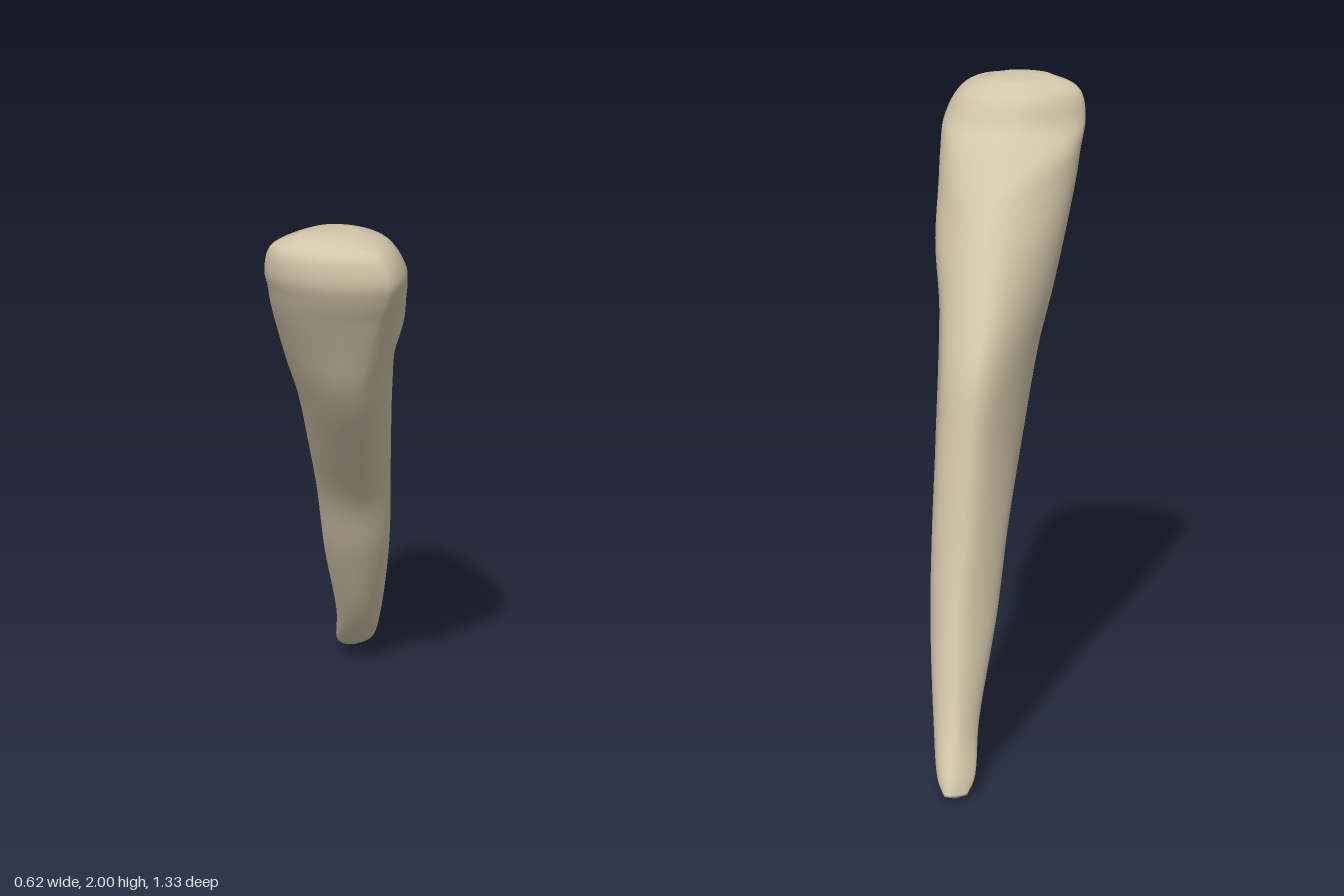
import * as THREE from 'three';

// Horizontal sections: height, then x, z of the back, left, front and right-hand extremes
const SECTIONS = [
  [0.01, .275, -.665, .295, -.65, .25, -.625, .22, -.64],
  [0.05, .27, -.65, .308, -.6, .25, -.555, .19, -.595],
  [0.2, .245, -.565, .305, -.49, .23, -.41, .16, -.48],
  [0.5, .22, -.45, .295, -.35, .18, -.225, .08, -.32],
  [0.75, .185, -.385, .28, -.28, .125, -.1, .03, -.21],
  [1.0, .16, -.335, .26, -.23, .09, .115, -.04, -.04],
  [1.25, .13, -.29, .237, -.16, .04, .33, -.115, .13],
  [1.4, .1, -.22, .218, -.04, .01, .43, -.17, .21],
  [1.56, .07, -.1, .203, .17, .01, .515, -.225, .3],
  [1.7, .04, .045, .168, .35, .02, .59, -.27, .38],
  [1.78, -.03, .16, .15, .44, .03, .635, -.29, .42],
  [1.86, -.08, .32, .13, .5, .035, .665, -.31, .45],
  [1.95, -.1, .375, .075, .52, 0, .645, -.295, .475],
  [1.993, -.12, .45, -.02, .51, -.09, .565, -.21, .5],
];
const FULLNESS = [.5, .42, .5, .34]; // corner handle length for each quarter, .55 being elliptical
const ROWS = 84;
const QUARTER = 12;
const SIDES = QUARTER * 4;

// One ring of four rounded quarters joining the extreme points
function makeRing(extremes) {
  return FULLNESS.flatMap((fullness, q) => {
    const from = extremes[q];
    const to = extremes[(q + 1) % 4];
    // The outline leaves the back and front along x, and the sides along z
    const corner = q % 2
      ? new THREE.Vector3(from.x, from.y, to.z)
      : new THREE.Vector3(to.x, to.y, from.z);
    const arc = new THREE.CubicBezierCurve3(
      from, from.clone().lerp(corner, fullness), to.clone().lerp(corner, fullness), to);
    return arc.getPoints(QUARTER).slice(0, QUARTER);
  });
}

// Smooth skin lofted through the sections and closed by a point at each end
function makeSkin() {
  const columns = [1, 3, 5, 7].map((k) => new THREE.CatmullRomCurve3(
    SECTIONS.map((s) => new THREE.Vector3(s[k], s[0], s[k + 1]))));
  const positions = [];
  const centres = [];
  for (let i = 0; i <= ROWS; i++) {
    const centre = new THREE.Vector3();
    for (const p of makeRing(columns.map((c) => c.getPoint(i / ROWS)))) {
      positions.push(p.x, p.y, p.z);
      centre.addScaledVector(p, 1 / SIDES);
    }
    centres.push(centre);
  }
  const bottom = (ROWS + 1) * SIDES;
  const top = bottom + 1;
  positions.push(centres[0].x, 0, centres[0].z, centres[ROWS].x, 2, centres[ROWS].z);

  const index = [];
  for (let j = 0; j < SIDES; j++) {
    const n = (j + 1) % SIDES;
    for (let i = 0; i < ROWS; i++) {
      const a = i * SIDES + j;
      const b = i * SIDES + n;
      index.push(a, a + SIDES, b, b, a + SIDES, b + SIDES);
    }
    index.push(bottom, j, n);
    index.push(top, ROWS * SIDES + n, ROWS * SIDES + j);
  }
  const geometry = new THREE.BufferGeometry();
  geometry.setAttribute('position', new THREE.Float32BufferAttribute(positions, 3));
  geometry.setIndex(index);
  geometry.computeVertexNormals();
  return geometry;
}

export function createModel() {
  const model = new THREE.Group();
  model.name = 'bone';
  const boneColour = new THREE.MeshStandardMaterial({ color: 0xd2c6a9 });
  boneColour.name = 'bone beige';

  // Broad head, flattened shaft and tapering tip in one skin
  const body = new THREE.Mesh(makeSkin(), boneColour);
  body.name = 'boneBody';
  model.add(body);
  return model;
}
